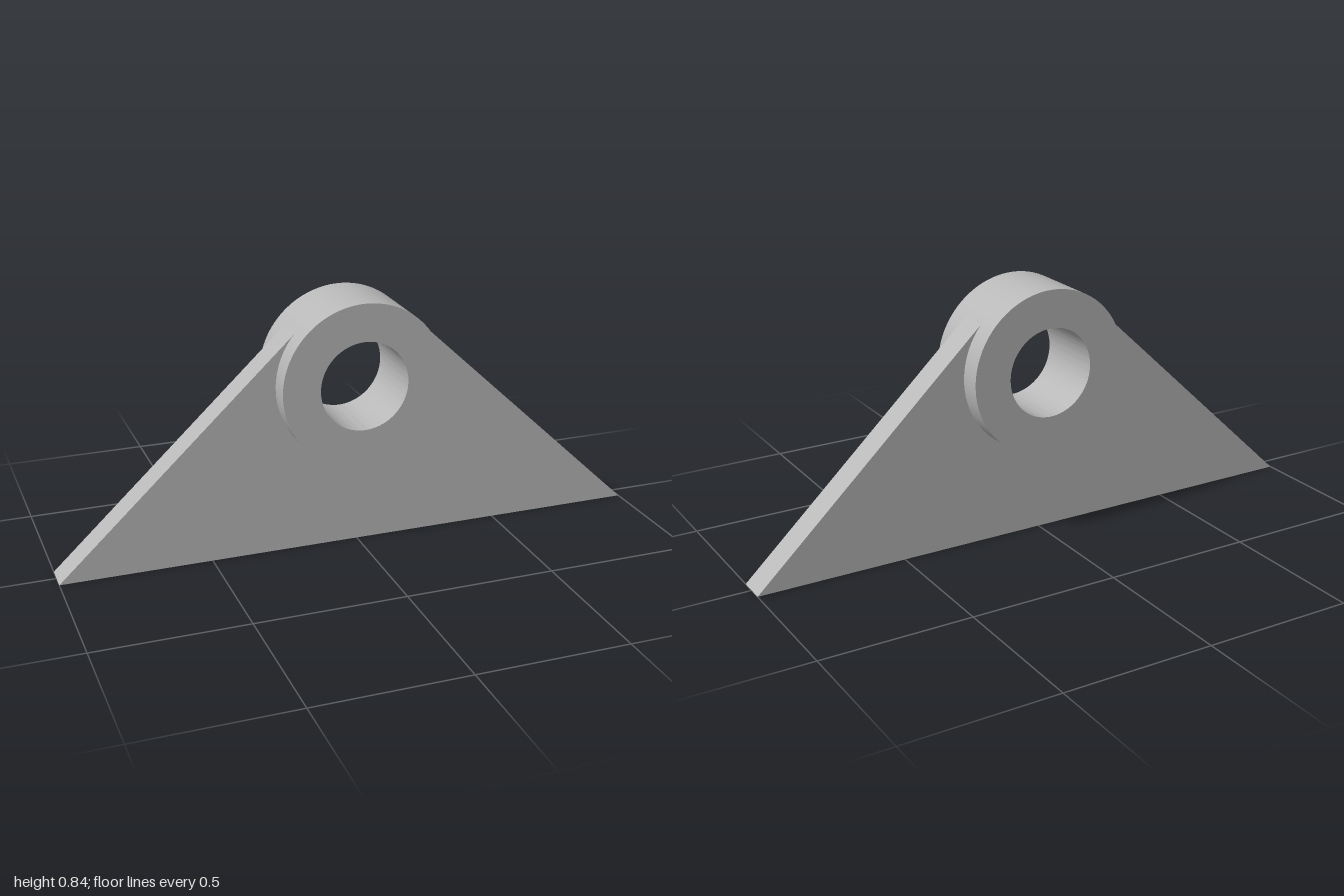
import * as THREE from 'three';
import { toCreasedNormals } from 'three/addons/utils/BufferGeometryUtils.js';

const AXIS_Y = 0.565, OUTER_R = 0.275, BORE_R = 0.149;

// Extrude a shape symmetrically about z = 0, keeping curved walls smooth
function extrudeCentred(shape, depth) {
  const geometry = new THREE.ExtrudeGeometry(shape, { depth, bevelEnabled: false, curveSegments: 64 });
  geometry.translate(0, 0, -depth / 2);
  return toCreasedNormals(geometry, Math.PI / 6);
}

function circle(PathType, radius) {
  return new PathType().absarc(0, AXIS_Y, radius, 0, Math.PI * 2);
}

export function createModel() {
  const model = new THREE.Group();
  model.name = 'pivotBracket';
  const steel = new THREE.MeshStandardMaterial({ color: 0xb8b8b8 });
  steel.name = 'grey steel';

  // Triangular web, its slopes running into the boss; the opening is hidden inside the boss wall
  const webShape = new THREE.Shape([
    new THREE.Vector2(-1, 0), new THREE.Vector2(1, 0),
    new THREE.Vector2(0.209, 0.743), new THREE.Vector2(-0.209, 0.743),
  ]);
  webShape.holes.push(circle(THREE.Path, 0.165));
  const web = new THREE.Mesh(extrudeCentred(webShape, 0.1), steel);
  web.name = 'web';

  // Thick bored boss
  const bossShape = circle(THREE.Shape, OUTER_R);
  bossShape.holes.push(circle(THREE.Path, BORE_R));
  const boss = new THREE.Mesh(extrudeCentred(bossShape, 0.25), steel);
  boss.name = 'boss';

  model.add(web, boss);
  return model;
}
